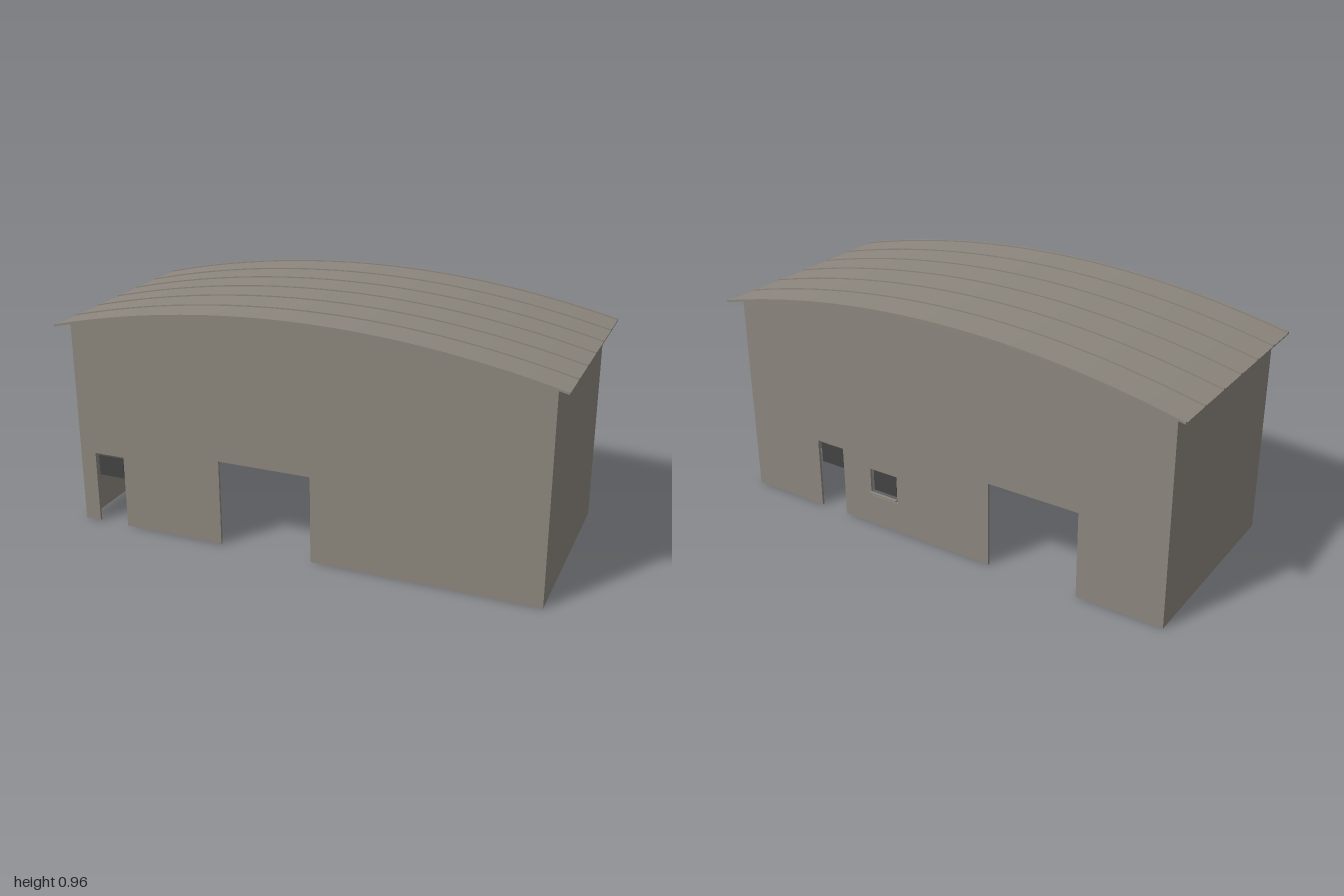
import * as THREE from 'three';
import { toCreasedNormals } from 'three/addons/utils/BufferGeometryUtils.js';

const WALL = 0.01;                       // wall thickness
const HX = 0.955, HZ = 0.41;             // half extents of the walls
const arch = (x) => 0.96 - 0.126 * x * x; // top line of the roof
const SEGMENTS = 32;

// Points along the arch from x0 to x1, shifted by dy
function archPoints(x0, x1, dy) {
  return Array.from({ length: SEGMENTS + 1 }, (_, i) => {
    const x = x0 + ((x1 - x0) * i) / SEGMENTS;
    return new THREE.Vector2(x, arch(x) + dy);
  });
}

export function createModel() {
  const model = new THREE.Group();
  const siding = new THREE.MeshStandardMaterial({ color: 0x8c867d });
  siding.name = 'warm grey metal';
  const glass = new THREE.MeshStandardMaterial({ color: 0x444444 });
  glass.name = 'dark glass';

  function add(name, geometry, material, x = 0, y = 0, z = 0) {
    const mesh = new THREE.Mesh(geometry, material);
    mesh.name = name;
    mesh.position.set(x, y, z);
    model.add(mesh);
    return mesh;
  }
  const box = (name, w, h, d, x, y, z, material = siding) =>
    add(name, new THREE.BoxGeometry(w, h, d), material, x, y, z);

  // Arched end wall with doorways [x0, x1, height] cut up from the floor
  function archedWall(name, doorways, windows, z) {
    const pts = [new THREE.Vector2(-HX, 0)];
    for (const [x0, x1, h] of doorways) {
      pts.push(new THREE.Vector2(x0, 0), new THREE.Vector2(x0, h),
        new THREE.Vector2(x1, h), new THREE.Vector2(x1, 0));
    }
    pts.push(new THREE.Vector2(HX, 0), ...archPoints(HX, -HX, -0.004));
    const shape = new THREE.Shape(pts);
    for (const [x0, x1, y0, y1] of windows) {
      shape.holes.push(new THREE.Path([
        new THREE.Vector2(x0, y0), new THREE.Vector2(x0, y1),
        new THREE.Vector2(x1, y1), new THREE.Vector2(x1, y0)]));
    }
    add(name, new THREE.ExtrudeGeometry(shape, { depth: WALL, bevelEnabled: false }), siding, 0, 0, z);
  }

  archedWall('frontWall', [[-0.888, -0.758, 0.3], [-0.33, 0.053, 0.355]], [], HZ - WALL);
  archedWall('backWall', [[-0.603, -0.22, 0.355], [0.477, 0.607, 0.3]],
    [[0.21, 0.34, 0.13, 0.25]], -HZ);

  // Side walls
  const sideTop = arch(HX) - 0.004;
  for (const [name, s] of [['leftWall', 1], ['rightWall', -1]]) {
    box(name, WALL, sideTop, 2 * (HZ - WALL), s * (HX - WALL / 2), sideTop / 2, 0);
  }

  // Curved strip following the arch, centred on z
  function archedStrip(name, dyTop, dyBottom, depth, z) {
    const shape = new THREE.Shape([...archPoints(-1, 1, dyBottom), ...archPoints(1, -1, dyTop)]);
    const geometry = new THREE.ExtrudeGeometry(shape, { depth, bevelEnabled: false });
    add(name, toCreasedNormals(geometry, 0.5), siding, 0, 0, z - depth / 2);
  }

  // Roof sheet and its raised seams
  archedStrip('roof', 0, -0.005, 0.9, 0);
  for (let i = -3; i <= 3; i++) archedStrip('roofSeam', 0.005, -0.003, 0.01, i * 0.15);

  // Glass panes in the doorways and in the back window
  box('frontDoorGlass', 0.112, 0.085, 0.004, -0.823, 0.246, HZ - 0.012, glass);
  box('backDoorGlass', 0.112, 0.085, 0.004, 0.542, 0.246, -HZ + 0.012, glass);
  box('windowGlass', 0.112, 0.09, 0.004, 0.275, 0.198, -HZ + 0.012, glass);

  // Window sill
  box('windowSill', 0.13, 0.007, 0.012, 0.275, 0.144, -HZ - 0.005);

  return model;
}
